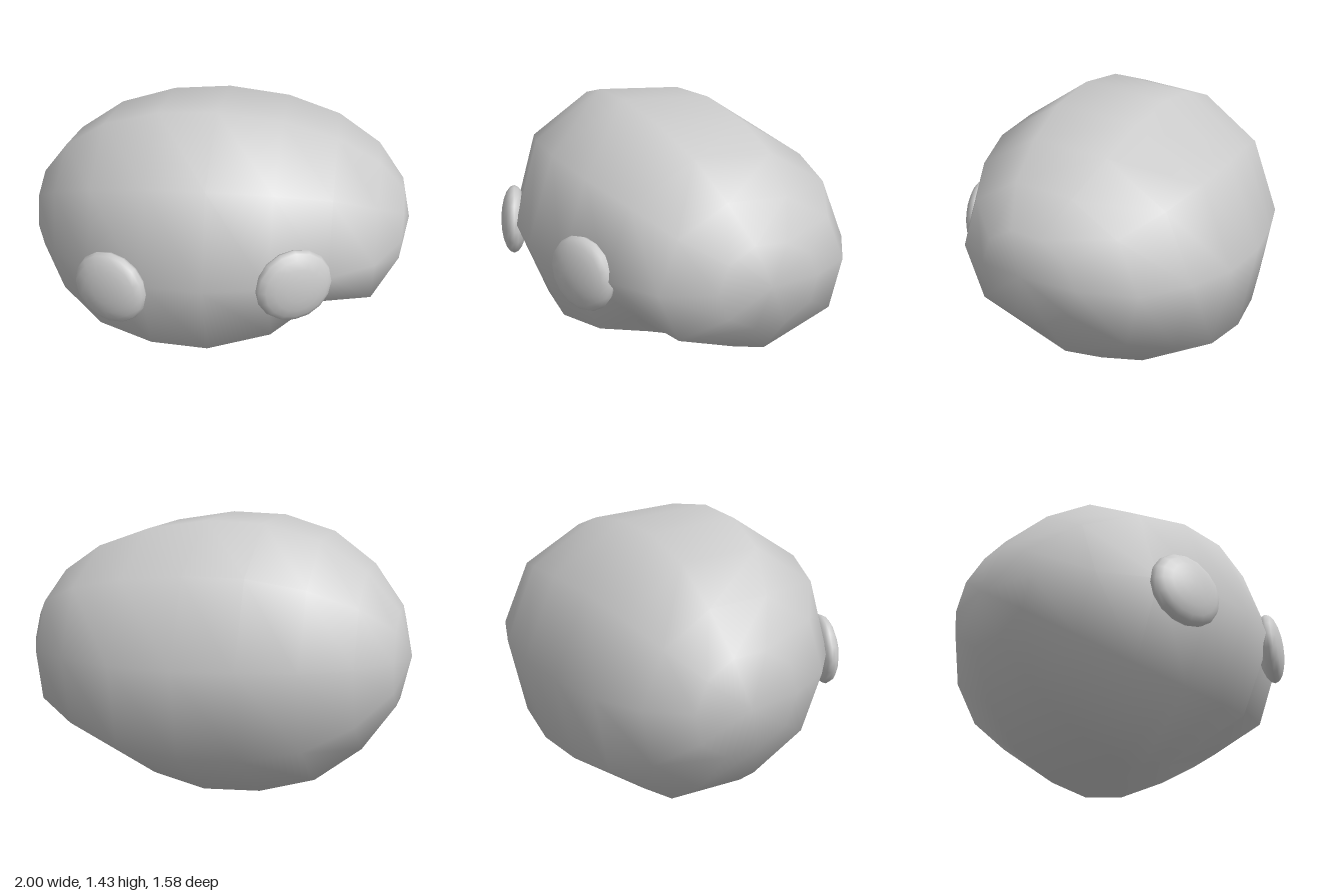
import * as THREE from 'three';

const material = new THREE.MeshStandardMaterial({ color: 0xcccccc, roughness: 0.8 });
const SIDES = 10;

// Body cross-sections along x: [x, top, bottom, front, back]
const RINGS = [
  [-0.94, 0.96, 0.48, 0.22, -0.30],
  [-0.78, 1.16, 0.26, 0.46, -0.49],
  [-0.55, 1.32, 0.09, 0.64, -0.63],
  [-0.27, 1.405, 0.015, 0.73, -0.72],
  [0.02, 1.42, 0.01, 0.75, -0.785],
  [0.33, 1.375, 0.07, 0.69, -0.79],
  [0.60, 1.28, 0.20, 0.57, -0.73],
  [0.82, 1.14, 0.335, 0.41, -0.58],
  [0.955, 0.97, 0.55, 0.18, -0.34],
];

// Uneven lean of each side [dy, dz], from the front over the top and round below
const LEAN = [
  [0.03, 0.01], [0.045, 0.01], [0.01, 0.01], [-0.03, 0.01], [-0.01, 0.025],
  [0, 0], [-0.01, -0.06], [-0.005, -0.045], [0.015, -0.05], [0.02, -0.01],
];

// Offsets [ring, side, dx, dy, dz] forming the hollow in the lower front left
const HOLLOW = [
  [4, 8, -0.08, 0.02, -0.04],
  [5, 7, -0.03, 0, 0.03],
  [5, 8, -0.11, 0.1, 0],
  [5, 9, 0, 0.02, -0.03],
  [6, 7, -0.03, 0, 0.1],
  [6, 8, -0.14, 0.04, -0.17],
  [6, 9, -0.05, 0.07, -0.06],
  [7, 7, -0.02, 0, 0.1],
  [7, 8, -0.03, 0.03, -0.04],
];

function bodyGeometry() {
  const points = [];
  const index = [];
  for (const [x, top, bottom, front, back] of RINGS) {
    const cy = (top + bottom) / 2;
    const cz = (front + back) / 2;
    const ry = (top - bottom) / 2 / Math.sin(Math.PI * 0.4);
    const rz = (front - back) / 2;
    const lean = ry / 0.74;
    LEAN.forEach(([dy, dz], k) => {
      const a = (k / SIDES) * Math.PI * 2;
      points.push(new THREE.Vector3(x, cy + ry * Math.sin(a) + dy * lean, cz + rz * Math.cos(a) + dz * lean));
    });
  }
  for (const [r, k, dx, dy, dz] of HOLLOW) points[r * SIDES + k].add(new THREE.Vector3(dx, dy, dz));

  // End points
  const rightEnd = points.push(new THREE.Vector3(-1, 0.72, -0.05)) - 1;
  const leftEnd = points.push(new THREE.Vector3(1, 0.78, -0.07)) - 1;
  const last = (RINGS.length - 1) * SIDES;
  for (let k = 0; k < SIDES; k++) {
    const n = (k + 1) % SIDES;
    for (let r = 0; r < last; r += SIDES) {
      const a = r + k, b = r + n, c = a + SIDES, d = b + SIDES;
      index.push(a, c, b, b, c, d);
    }
    index.push(rightEnd, k, n, leftEnd, last + n, last + k);
  }
  const geometry = new THREE.BufferGeometry().setFromPoints(points);
  geometry.setIndex(index);
  geometry.computeVertexNormals();
  return geometry;
}

// Flattened sphere turned to lie against the body
function makeEye(name, position, yaw) {
  const geometry = new THREE.SphereGeometry(1, 16, 10);
  geometry.rotateX(Math.PI / 2);
  const eye = new THREE.Mesh(geometry, material);
  eye.name = name;
  eye.scale.set(0.192, 0.185, 0.07);
  eye.position.set(...position);
  eye.rotation.set(-0.06, yaw, 0, 'YXZ');
  return eye;
}

export function createModel() {
  const model = new THREE.Group();
  model.name = 'roundHead';
  const body = new THREE.Mesh(bodyGeometry(), material);
  body.name = 'body';
  model.add(body);
  model.add(makeEye('rightEye', [-0.427, 0.7, 0.705], -0.29));
  model.add(makeEye('leftEye', [0.443, 0.745, 0.63], 0.45));
  return model;
}
